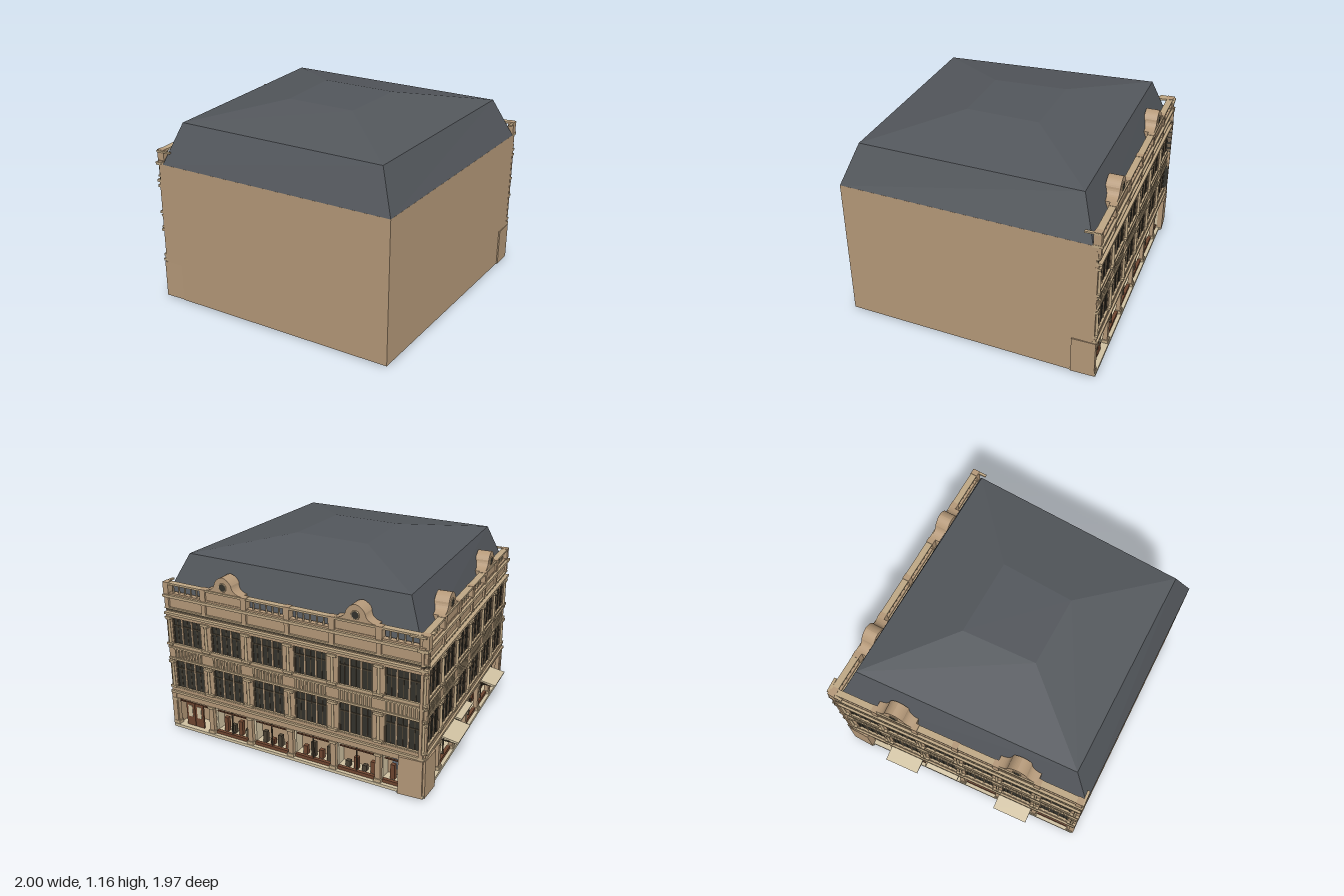
import * as THREE from 'three';

const mat = (name, color, side = THREE.FrontSide) => {
  const m = new THREE.MeshStandardMaterial({ color, side });
  m.name = name;
  return m;
};
const M = {
  wall: mat('tan stone', 0xb59979),
  trim: mat('pale stone', 0xbfa885),
  roof: mat('slate', 0x53575c),
  glass: mat('dark glass', 0x34332d),
  frame: mat('dark frame', 0x4b4234),
  wood: mat('red brown wood', 0x6f4630, THREE.DoubleSide),
  cream: mat('cream', 0xd1c2a2),
  goods: mat('blue grey goods', 0x5f6a76),
};

// Footprint corners [x, z]: west, south, east, north
const PLAN = [[-1, -0.43], [-0.37, 0.985], [1, 0.45], [0.55, -0.985]];

// Moves each edge of the footprint inward by its own distance
function inset(dist) {
  const lines = PLAN.map(([x, z], i) => {
    const [x2, z2] = PLAN[(i + 1) % 4];
    const l = Math.hypot(x2 - x, z2 - z);
    const nx = (z2 - z) / l, nz = -(x2 - x) / l;
    return [nx, nz, nx * x + nz * z + dist[i]];
  });
  return lines.map(([a, b, c], i) => {
    const [d, e, f] = lines[(i + 3) % 4];
    const det = a * e - b * d;
    return [(c * e - b * f) / det, (a * f - c * d) / det];
  });
}

const toPoints = (poly) => poly.map(([x, z]) => new THREE.Vector2(x, -z));

// Upright prism over a plan polygon
function prism(name, material, poly, y0, y1, hole) {
  const shape = new THREE.Shape(toPoints(poly));
  if (hole) shape.holes.push(new THREE.Path(toPoints(hole)));
  const g = new THREE.ExtrudeGeometry(shape, { depth: y1 - y0, bevelEnabled: false });
  g.rotateX(-Math.PI / 2).translate(0, y0, 0);
  const m = new THREE.Mesh(g, material);
  m.name = name;
  return m;
}

// Flat-faced skin between stacked four-cornered rings [poly, y]
function rings(name, material, list, cap) {
  const pos = [];
  const quad = (...q) => [0, 1, 2, 0, 2, 3].forEach((k) => pos.push(...q[k]));
  const at = ([poly, y], i) => [poly[i % 4][0], y, poly[i % 4][1]];
  for (let r = 0; r < list.length - 1; r++)
    for (let i = 0; i < 4; i++)
      quad(at(list[r], i), at(list[r], i + 1), at(list[r + 1], i + 1), at(list[r + 1], i));
  const top = list[list.length - 1];
  if (cap) quad(at(top, 0), at(top, 1), at(top, 2), at(top, 3));
  const g = new THREE.BufferGeometry();
  g.setAttribute('position', new THREE.Float32BufferAttribute(pos, 3));
  g.computeVertexNormals();
  const m = new THREE.Mesh(g, material);
  m.name = name;
  return m;
}

// Gable with sweeping shoulders, around its own centre line
function gableGeometry() {
  const s = new THREE.Shape();
  s.moveTo(-0.12, 0.86);
  s.lineTo(0.12, 0.86);
  s.lineTo(0.12, 0.935);
  s.quadraticCurveTo(0.062, 0.94, 0.055, 0.985);
  s.quadraticCurveTo(0.035, 1.02, 0, 1.025);
  s.quadraticCurveTo(-0.035, 1.02, -0.055, 0.985);
  s.quadraticCurveTo(-0.062, 0.94, -0.12, 0.935);
  return new THREE.ExtrudeGeometry(s, { depth: 0.08, bevelEnabled: false, curveSegments: 8 });
}

// One street front: local x runs along it, local z points to the street
function facade(name, start, end, { first, pitch, win, doors, awnings, blueBays, slimEnd }) {
  const g = new THREE.Group();
  g.name = name;
  const dx = end[0] - start[0], dz = end[1] - start[1], L = Math.hypot(dx, dz);
  g.position.set(start[0], 0, start[1]);
  g.rotation.y = Math.atan2(-dz, dx);
  const add = (n, geo, m, x, y, z) => {
    const mesh = new THREE.Mesh(geo, m);
    mesh.name = n;
    mesh.position.set(x, y, z);
    g.add(mesh);
    return mesh;
  };
  // Box given by its ranges in x, y and z
  const box = (n, m, x0, x1, y0, y1, z0, z1) =>
    add(n, new THREE.BoxGeometry(x1 - x0, y1 - y0, z1 - z0), m, (x0 + x1) / 2, (y0 + y1) / 2, (z0 + z1) / 2);
  const band = (n, m, y0, y1, z) => box(n, m, 0.002, L - 0.002, y0, y1, -0.036, z);

  const centres = [...Array(6).keys()].map((i) => first + i * pitch);
  const edges = [0, ...centres.flatMap((c) => [c - win / 2, c + win / 2]), L];
  const piers = [...Array(7).keys()].map((i) => [edges[2 * i], edges[2 * i + 1]]);

  // Horizontal bands and cornices
  band('shopFascia', M.wall, 0.205, 0.242, -0.014);
  band('shopCornice', M.trim, 0.242, 0.256, 0);
  band('lowerSill', M.wall, 0.256, 0.275, -0.012);
  band('spandrel', M.wall, 0.45, 0.555, -0.018);
  band('spandrelTopRail', M.trim, 0.53, 0.54, -0.01);
  band('spandrelFootRail', M.trim, 0.458, 0.47, -0.009);
  band('upperLintel', M.wall, 0.72, 0.745, -0.016);
  band('mainCornice', M.trim, 0.743, 0.757, 0);
  band('corniceShadowGap', M.frame, 0.762, 0.776, -0.02);
  band('friezeFoot', M.trim, 0.776, 0.785, -0.01);
  band('frieze', M.wall, 0.757, 0.85, -0.022);
  box('eavesCornice', M.trim, 0, L, 0.848, 0.864, -0.056, -0.001);
  band('glass', M.glass, 0.27, 0.73, -0.027);
  box('parapetPlinth', M.wall, 0.004, L - 0.004, 0.864, 0.874, -0.048, -0.016);
  box('parapetRail', M.trim, 0, L, 0.923, 0.934, -0.05, -0.012);
  // Short rails returning to the roof at both ends
  for (const x of [0.008, L - 0.008]) box('parapetReturn', M.trim, x - 0.008, x + 0.008, 0.924, 0.933, -0.1, -0.03);

  // Shop floor and back wall
  box('shopFloor', M.cream, 0.004, L - 0.004, 0.012, 0.03, -0.15, -0.004);
  box('shopBackWall', M.cream, 0.03, L - 0.05, 0.03, 0.24, -0.146, -0.138);

  const column = new THREE.CylinderGeometry(0.007, 0.009, 0.16, 8);
  const baluster = new THREE.CylinderGeometry(0.004, 0.006, 0.05, 6);
  const stub = new THREE.BoxGeometry(0.009, 0.06, 0.008);

  piers.forEach(([a, b], i) => {
    const c = (a + b) / 2, isEnd = i === 0 || i === 6;
    box('pier', M.wall, a, b, 0.27, 0.73, -0.036, -0.02);
    for (const y of [0.363, 0.638]) {
      const w = Math.min(b - a, 0.056) / 2;
      add('pierColumn', column, M.trim, c, y, -0.015);
      box('pierCapital', M.trim, c - w, c + w, y + 0.074, y + 0.088, -0.03, -0.005);
      box('pierBase', M.trim, c - w, c + w, y - 0.088, y - 0.074, -0.03, -0.005);
    }
    box('friezeBlock', M.wall, c - 0.014, c + 0.014, 0.785, 0.85, -0.03, -0.01);
    box('parapetPost', M.wall, c - 0.018, c + 0.018, 0.862, 0.936, -0.052, -0.01);
    // Ground floor: solid blocks at the ends, slim posts between the shops
    if (isEnd) {
      const x0 = i === 0 ? -0.002 : i === slimEnd ? L - 0.03 : a;
      const x1 = i === 6 ? L + 0.002 : i === slimEnd ? 0.03 : b;
      box('cornerBlock', M.wall, x0, x1, 0.015, 0.24, -0.145, -0.01);
    } else box('shopPartition', M.cream, c - 0.006, c + 0.006, 0.03, 0.24, -0.14, -0.07);
    if (!isEnd || i === slimEnd) {
      box('shopPost', M.wall, c - 0.016, c + 0.016, 0.02, 0.215, -0.04, -0.014);
      box('shopPostFoot', M.trim, c - 0.021, c + 0.021, 0.015, 0.05, -0.044, -0.008);
      box('shopPostHead', M.trim, c - 0.021, c + 0.021, 0.19, 0.205, -0.044, -0.008);
    }
  });

  centres.forEach((c, i) => {
    const a = c - win / 2, b = c + win / 2;
    // Three-light windows on two floors
    for (const [y0, y1] of [[0.275, 0.45], [0.555, 0.72]]) {
      for (const s of [-1, 1]) {
        box('mullion', M.wall, c + s * win / 6 - 0.004, c + s * win / 6 + 0.004, y0, y1, -0.03, -0.022);
        box('jamb', M.frame, c + s * (win / 2 - 0.005) - 0.005, c + s * (win / 2 - 0.005) + 0.005, y0, y1, -0.03, -0.023);
      }
      box('transom', M.frame, a, b, y1 - 0.05, y1 - 0.043, -0.03, -0.023);
      box('sill', M.trim, a, b, y0 - 0.004, y0 + 0.006, -0.03, -0.014);
      for (const k of [-1, 0, 1])
        box('glazingBar', M.frame, c + k * win / 3 - 0.0025, c + k * win / 3 + 0.0025, y0, y1, -0.03, -0.025);
    }
    for (let k = 0; k < 9; k++) add('spandrelStub', stub, M.trim, a + (k + 0.5) * win / 9, 0.501, -0.016);

    // Parapet: gable or balusters
    if (i === 1 || i === 4) {
      add('gable', gableGeometry(), M.wall, c, 0, -0.1);
      const disc = new THREE.CylinderGeometry(0.02, 0.02, 0.006, 16).rotateX(Math.PI / 2);
      add('gableRoundWindow', disc, M.glass, c, 0.968, -0.019);
      add('gableWindowRing', new THREE.TorusGeometry(0.022, 0.004, 6, 16), M.trim, c, 0.968, -0.019);
    } else {
      for (let k = 0; k < 5; k++) add('baluster', baluster, M.trim, a + (k + 0.5) * win / 5, 0.898, -0.032);
    }

    // Shop front
    box('shopTransom', M.wood, a, b, 0.178, 0.184, -0.04, -0.03);
    if (doors.includes(i)) {
      for (const s of [-1, 1]) {
        const d = c + s * 0.032;
        box('doorLeaf', M.wood, d - 0.03, d + 0.03, 0.03, 0.178, -0.044, -0.034);
        box('doorPane', M.cream, d - 0.015, d + 0.015, 0.09, 0.165, -0.036, -0.031);
      }
    } else {
      box('stallRiser', M.wood, a - 0.01, b + 0.01, 0.03, 0.05, -0.045, -0.025);
      box('shopMullion', M.frame, c - 0.003, c + 0.003, 0.05, 0.205, -0.04, -0.032);
      if (blueBays.includes(i)) box('displayPanel', M.goods, a, b, 0.06, 0.2, -0.138, -0.13);
      for (let k = 0; k < 4; k++) {
        const x = a + (k + 0.5) * win / 4, h = 0.02 + 0.018 * ((i * 3 + k * 2) % 4);
        box('displayItem', (i + k) % 2 ? M.wood : M.frame, x - 0.013, x + 0.013, 0.03, 0.045 + h, -0.1, -0.075);
      }
    }
    // Street canopies
    const reach = awnings[i];
    if (reach) {
      const w = win / 2 + 0.015;
      const canopy = box('canopy', M.cream, c - w, c + w, 0.208, 0.218, -0.02, reach);
      canopy.rotation.x = 0.2;
      for (const x of [c - w, c + w - 0.006]) box('canopyBrace', M.frame, x, x + 0.006, 0.2, 0.206, -0.02, reach * 0.8);
    }
  });
  return g;
}

export function createModel() {
  const model = new THREE.Group();
  model.name = 'cornerBuilding';
  const [west, south, , north] = PLAN;
  const eaves = inset([0.052, 0, 0, 0.052]);
  const hollow = inset([0.165, 0.1, 0.1, 0.165]);

  // Upper storeys and the hollow ground floor
  model.add(prism('upperStoreys', M.wall, inset([0.03, 0, 0, 0.03]), 0.24, 0.856));
  model.add(prism('groundWalls', M.wall, inset([0.13, 0, 0, 0.13]), 0.015, 0.24, hollow));
  const lining = inset([0.168, 0.103, 0.103, 0.168]);
  model.add(rings('innerLining', M.wood, [[lining, 0.016], [lining, 0.239]], false));
  model.add(prism('groundCeiling', M.cream, lining, 0.233, 0.239));

  // Entrance hall with its dark floor
  model.add(prism('entranceHall', M.cream, [[-0.74, -0.18], [-0.53, 0.36], [0.01, 0.12], [-0.2, -0.36]], 0.012, 0.233));
  model.add(prism('entranceFloor', M.roof, [[-0.85, -0.13], [-0.61, 0.42], [0.015, 0.12], [-0.2, -0.365]], 0.004, 0.012));

  // Mansard roof
  const shoulder = [[-0.81, -0.36], [-0.29, 0.84], [0.88, 0.4], [0.49, -0.82]];
  const crown = [[-0.24, -0.13], [-0.07, 0.27], [0.32, 0.13], [0.19, -0.28]];
  model.add(rings('mansardRoof', M.roof, [[eaves, 0.855], [shoulder, 1.085], [crown, 1.166]], true));

  // Street fronts
  model.add(facade('westFront', west, south, {
    first: 0.17, pitch: 0.246, win: 0.185, doors: [0, 2], awnings: { 1: 0.085, 2: 0.025, 4: 0.085 },
    blueBays: [], slimEnd: 6,
  }));
  model.add(facade('northFront', north, west, {
    first: 0.142, pitch: 0.273, win: 0.205, doors: [0], awnings: {}, blueBays: [1, 2, 5], slimEnd: 0,
  }));
  return model;
}
